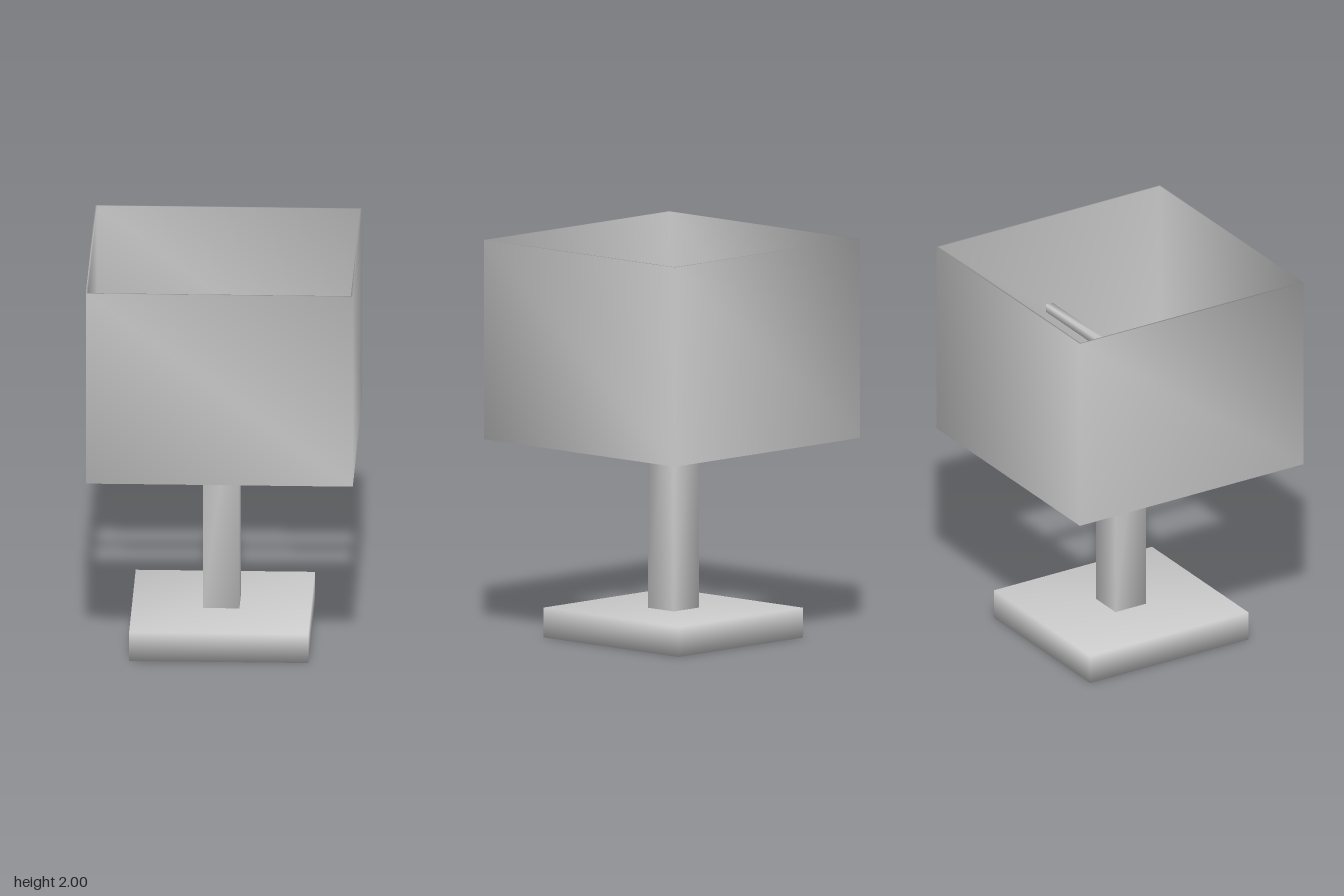
import * as THREE from 'three';
import { mergeVertices } from 'three/addons/utils/BufferGeometryUtils.js';

const material = new THREE.MeshStandardMaterial({ color: 0xcccccc });

// Weld the corners so that normals blend softly across the edges
function soften(geometry) {
  geometry.deleteAttribute('normal');
  geometry.deleteAttribute('uv');
  const welded = mergeVertices(geometry, 1e-4);
  welded.computeVertexNormals();
  return welded;
}

function addPart(parent, name, geometry, x, y, z) {
  const mesh = new THREE.Mesh(soften(geometry), material);
  mesh.name = name;
  mesh.position.set(x, y, z);
  parent.add(mesh);
  return mesh;
}

function rectangle(PathType, halfW, halfD) {
  const path = new PathType();
  path.moveTo(-halfW, -halfD);
  path.lineTo(halfW, -halfD);
  path.lineTo(halfW, halfD);
  path.lineTo(-halfW, halfD);
  path.closePath();
  return path;
}

export function createModel() {
  const lamp = new THREE.Group();
  lamp.name = 'tableLamp';

  const stemX = -0.01;
  const shadeW = 0.663, shadeD = 0.658, wall = 0.01;

  // Square foot and post
  addPart(lamp, 'base', new THREE.BoxGeometry(0.89, 0.15, 0.93), stemX, 0.075, 0);
  addPart(lamp, 'stem', new THREE.BoxGeometry(0.18, 1.4, 0.18), stemX, 0.85, 0);

  // Thin-walled shade, open at top and bottom
  const outline = rectangle(THREE.Shape, shadeW, shadeD);
  outline.holes.push(rectangle(THREE.Path, shadeW - wall, shadeD - wall));
  const shade = new THREE.ExtrudeGeometry(outline, { depth: 1, bevelEnabled: false });
  shade.rotateX(-Math.PI / 2);
  addPart(lamp, 'shade', shade, 0, 1, 0);

  // Four arms from the post to the shade walls
  const arms = new THREE.Group();
  arms.name = 'shadeArms';
  lamp.add(arms);
  const start = 0.08, thick = 0.04, armY = 1.5;
  for (const side of [-1, 1]) {
    const lengthX = shadeW - wall / 2 - side * stemX - start;
    const lengthZ = shadeD - wall / 2 - start;
    addPart(arms, side > 0 ? 'leftArm' : 'rightArm', new THREE.BoxGeometry(lengthX, thick, thick),
      stemX + side * (start + lengthX / 2), armY, 0);
    addPart(arms, side > 0 ? 'frontArm' : 'backArm', new THREE.BoxGeometry(thick, thick, lengthZ),
      stemX, armY, side * (start + lengthZ / 2));
  }

  return lamp;
}
